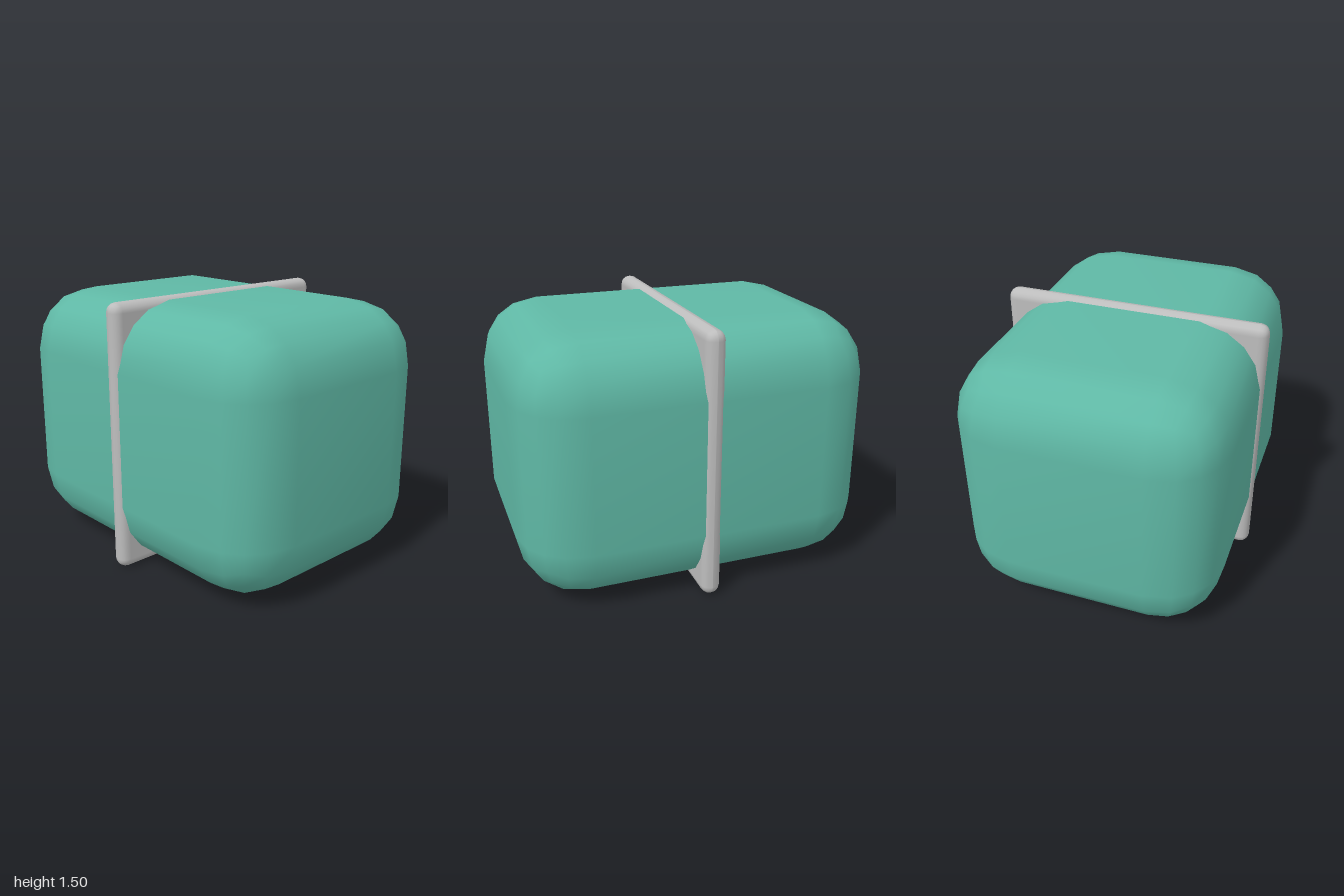
import * as THREE from 'three';
import { mergeVertices } from 'three/addons/utils/BufferGeometryUtils.js';

// Low-poly rounded box: two facets per quarter turn, flat sides, smooth normals
function roundedBox(w, h, d, r) {
  const geo = new THREE.BoxGeometry(2, 2, 2, 5, 5, 5);
  geo.deleteAttribute('uv');
  geo.deleteAttribute('normal');
  const core = [w / 2 - r, h / 2 - r, d / 2 - r];
  const bend = (t) => {
    const a = Math.abs(t);
    return a < 0.4 ? 0 : Math.sign(t) * (a < 0.8 ? 0.48 : 1);
  };
  const pos = geo.attributes.position;
  const p = new THREE.Vector3();
  const dir = new THREE.Vector3();
  for (let i = 0; i < pos.count; i++) {
    p.fromBufferAttribute(pos, i);
    dir.set(bend(p.x), bend(p.y), bend(p.z)).normalize().multiplyScalar(r);
    pos.setXYZ(
      i,
      Math.sign(p.x) * core[0] + dir.x,
      Math.sign(p.y) * core[1] + dir.y,
      Math.sign(p.z) * core[2] + dir.z
    );
  }
  const merged = mergeVertices(geo, 1e-5);
  merged.computeVertexNormals();
  return merged;
}

export function createModel() {
  const group = new THREE.Group();
  group.name = 'bandedCapsule';

  const green = new THREE.MeshStandardMaterial({ color: 0x5fb8a5 });
  green.name = 'seaGreen';
  const grey = new THREE.MeshStandardMaterial({ color: 0xbdbdbd });
  grey.name = 'lightGrey';

  // Soft rounded block
  const body = new THREE.Mesh(roundedBox(2, 1.47, 1.47, 0.355), green);
  body.name = 'body';
  body.position.y = 0.7525;

  // Square plate around the middle, with fully rounded edges
  const band = new THREE.Mesh(roundedBox(0.11, 1.505, 1.505, 0.054), grey);
  band.name = 'middleBand';
  band.position.y = 0.7525;

  group.add(body, band);
  return group;
}
